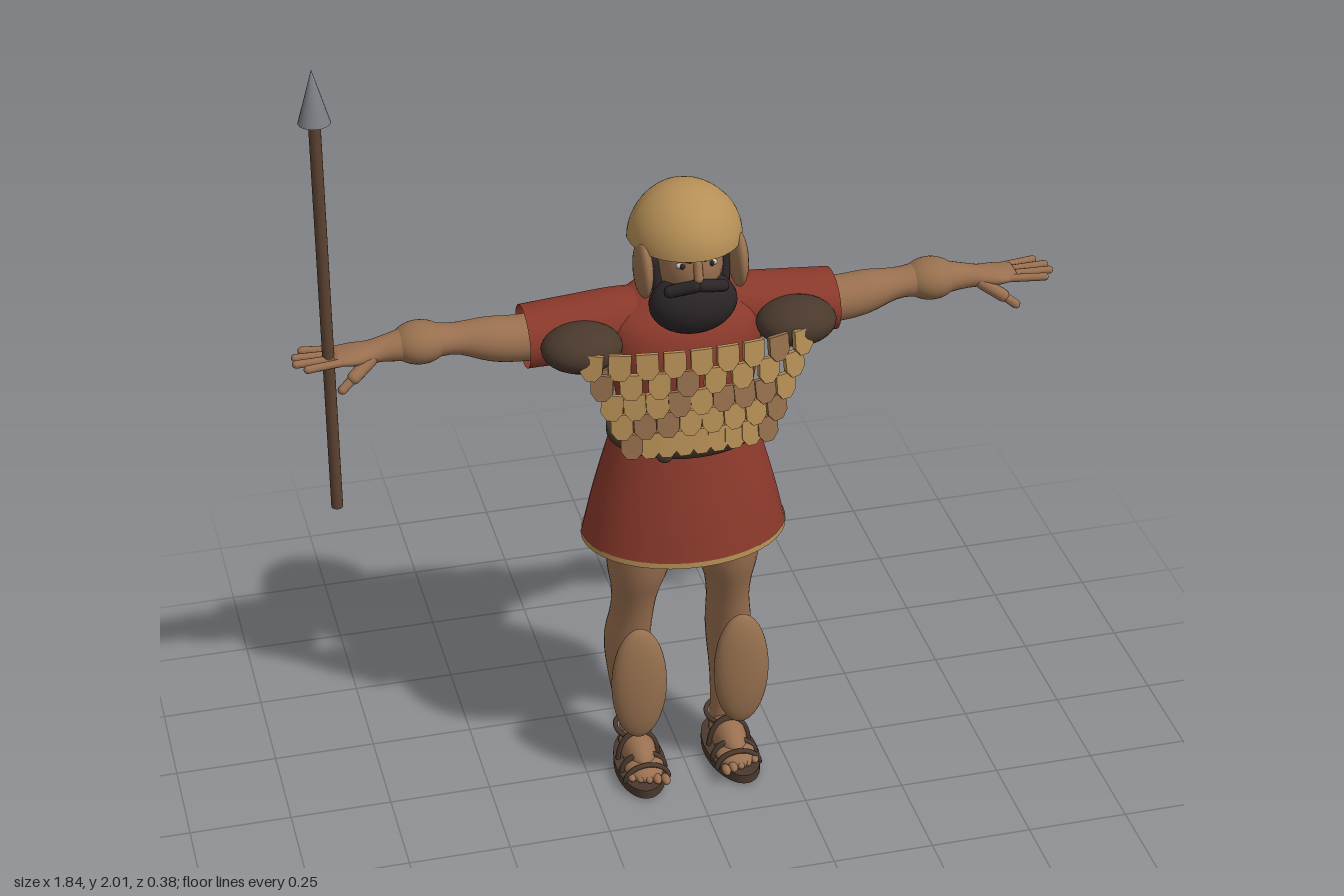
import * as THREE from 'three';
import { mergeGeometries } from 'three/addons/utils/BufferGeometryUtils.js';

const mat = (name, color, side = THREE.FrontSide) => {
  const m = new THREE.MeshStandardMaterial({ color, side });
  m.name = name;
  return m;
};

const M = {
  skin: mat('skin', 0x9a7050),
  red: mat('red cloth', 0x8a392b, THREE.DoubleSide),
  gold: mat('brass', 0xb68f56, THREE.DoubleSide),
  bronze: mat('bronze', 0x96704e),
  leather: mat('leather', 0x4a392d, THREE.DoubleSide),
  hair: mat('dark hair', 0x2b2527),
  wood: mat('wood', 0x5c4232),
  iron: mat('iron', 0x7c8086),
  eye: mat('eye white', 0xcfc4b4),
};

// Smooth tube along y through sections [y, centreX, centreZ, radiusX, radiusZ]
function loft(sections, { seg = 28, steps = 28, caps = true } = {}) {
  const mid = new THREE.CatmullRomCurve3(sections.map(s => new THREE.Vector3(s[1], s[0], s[2])), false, 'catmullrom', 0.5);
  const rad = new THREE.CatmullRomCurve3(sections.map(s => new THREE.Vector3(s[3], s[4], 0)), false, 'catmullrom', 0.5);
  const pos = [], idx = [];
  for (let i = 0; i <= steps; i++) {
    const c = mid.getPoint(i / steps), r = rad.getPoint(i / steps);
    for (let j = 0; j < seg; j++) {
      const a = j / seg * Math.PI * 2;
      pos.push(c.x + r.x * Math.cos(a), c.y, c.z + r.y * Math.sin(a));
      if (i === steps) continue;
      const p = i * seg + j, q = i * seg + (j + 1) % seg;
      idx.push(p, p + seg, q, q, p + seg, q + seg);
    }
  }
  if (caps) {
    const n = pos.length / 3, top = steps * seg;
    const b = mid.getPoint(0), t = mid.getPoint(1);
    pos.push(b.x, b.y, b.z, t.x, t.y, t.z);
    for (let j = 0; j < seg; j++) {
      const k = (j + 1) % seg;
      idx.push(n, j, k, n + 1, top + k, top + j);
    }
  }
  const g = new THREE.BufferGeometry();
  g.setAttribute('position', new THREE.Float32BufferAttribute(pos, 3));
  g.setIndex(idx);
  g.computeVertexNormals();
  return g;
}

export function createModel() {
  const root = new THREE.Group();
  root.name = 'spearman';
  const add = (name, geo, material, x = 0, y = 0, z = 0) => {
    const m = new THREE.Mesh(geo, material);
    m.name = name;
    m.position.set(x, y, z);
    root.add(m);
    return m;
  };
  const blob = (name, material, x, y, z, rx, ry, rz) =>
    add(name, new THREE.SphereGeometry(1, 28, 18).scale(rx, ry, rz), material, x, y, z);
  const rod = (name, material, a, b, r) => {
    const A = new THREE.Vector3(...a), B = new THREE.Vector3(...b), d = B.clone().sub(A);
    const m = add(name, new THREE.CapsuleGeometry(r, d.length(), 4, 10), material);
    m.position.copy(A).add(B).multiplyScalar(0.5);
    m.quaternion.setFromUnitVectors(new THREE.Vector3(0, 1, 0), d.normalize());
    return m;
  };

  // Tunic, hem and belt
  add('tunicBody', loft([
    [0.99, 0, 0, 0.165, 0.115], [1.08, 0, 0.01, 0.165, 0.102], [1.2, 0, 0, 0.185, 0.115],
    [1.28, 0, -0.018, 0.185, 0.107], [1.325, 0, -0.045, 0.14, 0.083], [1.355, 0, -0.05, 0.085, 0.063],
  ]), M.red);
  add('skirt', loft([
    [0.7, 0, 0, 0.25, 0.19], [0.8, 0, 0, 0.227, 0.172], [0.9, 0, 0, 0.2, 0.15], [1.0, 0, 0, 0.17, 0.125],
  ], { seg: 40, steps: 14, caps: false }), M.red);
  add('hemTrim', loft([[0.695, 0, 0, 0.252, 0.192], [0.709, 0, 0, 0.251, 0.191]],
    { seg: 40, steps: 1, caps: false }), M.gold);
  add('belt', loft([[0.975, 0, 0, 0.186, 0.148], [1.016, 0, 0, 0.186, 0.148]], { seg: 40, steps: 1 }), M.leather);
  blob('beltKnot', M.leather, -0.08, 0.993, 0.14, 0.022, 0.024, 0.015);

  // Armour scales: front and back panels of rounded plates in staggered rows
  const plate = new THREE.Shape([[-0.026, 0.03], [0.026, 0.03], [0.026, -0.014], [0.011, -0.034],
    [-0.011, -0.034], [-0.026, -0.014]].map(p => new THREE.Vector2(...p)));
  let seed = 11;
  const rand = () => (seed = (seed * 16807) % 2147483647) / 2147483647;
  for (const [side, turn] of [['front', 0], ['back', Math.PI]]) {
    const sets = { gold: [], bronze: [] };
    for (let row = 0; row < 5; row++) {
      const n = row % 2 ? 8 : 9, half = 0.25 - row * 0.022;
      for (let i = 0; i < n; i++) {
        const x = (i / (n - 1) * 2 - 1) * half;
        const z = 0.168 * Math.sqrt(1 - (x / 0.42) ** 2) - 0.004;
        const g = new THREE.ExtrudeGeometry(plate, { depth: 0.012, bevelEnabled: false });
        g.rotateX(-0.12).rotateZ((rand() - 0.5) * 0.12).rotateY(x * 1.6);
        g.translate(x, 1.25 - row * 0.053, z).rotateY(turn);
        sets[rand() < 0.72 ? 'gold' : 'bronze'].push(g);
      }
    }
    for (const key in sets) add(`${side}Scales`, mergeGeometries(sets[key]), M[key]);
  }

  // Neck and head
  add('neck', loft([[1.27, 0, -0.045, 0.07, 0.055], [1.36, 0, -0.035, 0.056, 0.045],
    [1.48, 0, -0.01, 0.058, 0.05]]), M.skin);
  blob('head', M.skin, 0, 1.46, 0.038, 0.082, 0.12, 0.1);
  rod('nose', M.skin, [0, 1.485, 0.132], [0, 1.452, 0.143], 0.011);
  blob('beard', M.hair, 0, 1.365, 0.09, 0.105, 0.078, 0.066);

  // Helmet bowl, its rim drooping at the nape
  const bowl = new THREE.SphereGeometry(1, 40, 16, 0, Math.PI * 2, 0, Math.PI / 2);
  const p = bowl.attributes.position;
  for (let i = 0; i < p.count; i++) {
    const y = p.getY(i), back = Math.max(0, -p.getZ(i));
    p.setXYZ(i, p.getX(i) * 0.134, y * 0.13 - 0.045 * back * (1 - y), p.getZ(i) * 0.145);
  }
  bowl.computeVertexNormals();
  add('helmet', bowl, M.gold, 0, 1.502, 0.01);

  for (const s of [1, -1]) {
    // Face details and cheek guards
    blob('eye', M.eye, s * 0.035, 1.48, 0.122, 0.014, 0.008, 0.008);
    blob('pupil', M.hair, s * 0.035, 1.48, 0.128, 0.006, 0.007, 0.005);
    rod('eyebrow', M.hair, [s * 0.017, 1.493, 0.131], [s * 0.056, 1.499, 0.116], 0.005);
    rod('moustache', M.hair, [s * 0.008, 1.433, 0.142], [s * 0.062, 1.415, 0.122], 0.015);
    rod('sideburn', M.hair, [s * 0.078, 1.4, 0.07], [s * 0.082, 1.46, 0.06], 0.015);
    blob('cheekGuard', M.bronze, s * 0.113, 1.453, 0.068, 0.021, 0.071, 0.057);

    // Sleeve and arm, lofted upright then laid out sideways
    const limb = (name, rows, material, opts) =>
      add(name, loft(rows.map(([x, y, z, ry, rz]) => [x, -s * y, z, ry, rz]), opts), material)
        .rotation.z = -s * Math.PI / 2;
    limb('sleeve', [[0.03, 1.265, -0.04, 0.075, 0.07], [0.15, 1.262, -0.045, 0.08, 0.08],
      [0.27, 1.255, -0.045, 0.077, 0.085], [0.375, 1.25, -0.045, 0.073, 0.085]], M.red, { caps: false });
    limb('arm', [[0.2, 1.25, -0.04, 0.06, 0.06], [0.38, 1.25, -0.04, 0.055, 0.058], [0.46, 1.257, -0.042, 0.052, 0.054],
      [0.54, 1.268, -0.045, 0.036, 0.042], [0.62, 1.27, -0.045, 0.042, 0.05], [0.7, 1.268, -0.04, 0.031, 0.034],
      [0.74, 1.266, -0.035, 0.024, 0.036], [0.78, 1.266, -0.033, 0.02, 0.044], [0.825, 1.267, -0.033, 0.012, 0.042]], M.skin);
    blob('bracer', M.bronze, s * 0.62, 1.27, -0.045, 0.068, 0.05, 0.06);
    blob('shoulderPad', M.leather, s * 0.258, 1.262, 0.06, 0.096, 0.055, 0.08);
    const tips = [0.89, 0.91, 0.912, 0.89];
    tips.forEach((x, i) => rod('finger', M.skin, [s * 0.81, 1.267, -0.065 + i * 0.022],
      [s * x, 1.267, -0.077 + i * 0.03], 0.0095));
    rod('thumb', M.skin, [s * 0.74, 1.258, -0.012], [s * 0.785, 1.232, 0.015], 0.016);
    rod('thumbTip', M.skin, [s * 0.785, 1.232, 0.015], [s * 0.815, 1.21, 0.027], 0.011);

    // Leg and floating greave
    add('leg', loft([[0.03, 0.118, -0.06, 0.036, 0.04], [0.1, 0.118, -0.056, 0.033, 0.038],
      [0.2, 0.128, -0.062, 0.043, 0.05], [0.34, 0.13, -0.06, 0.057, 0.065], [0.45, 0.122, -0.035, 0.053, 0.064],
      [0.52, 0.118, -0.02, 0.058, 0.07], [0.6, 0.112, -0.008, 0.076, 0.084], [0.72, 0.104, -0.003, 0.09, 0.094],
      [0.88, 0.09, 0, 0.09, 0.1]].map(r => [r[0], s * r[1], ...r.slice(2)])), M.skin);
    blob('greave', M.bronze, s * 0.13, 0.295, 0.07, 0.07, 0.16, 0.035);

    // Foot and sandal
    const fx = s * 0.118;
    blob('foot', M.skin, fx, 0.045, -0.005, 0.043, 0.05, 0.095);
    blob('forefoot', M.skin, fx, 0.035, 0.06, 0.05, 0.026, 0.065);
    for (let i = 0; i < 5; i++)
      blob('toe', M.skin, fx + s * (i - 2) * 0.02, 0.034, 0.128 - i * 0.008, 0.011, 0.011, 0.02);
    add('sole', new THREE.CylinderGeometry(1, 1, 0.024, 36).scale(0.064, 1, 0.134), M.leather, fx, 0.012, 0.018)
      .rotation.y = s * 0.08;
    for (const [z, r, h] of [[0.095, 0.055, 0.042], [0.055, 0.056, 0.05], [0, 0.052, 0.078]])
      add('sandalStrap', new THREE.TorusGeometry(1, 0.12, 8, 24, Math.PI).scale(r, h, 0.07), M.leather, fx, 0.018, z);
    add('ankleStrap', new THREE.TorusGeometry(0.045, 0.006, 8, 28).rotateX(Math.PI / 2 + 0.2), M.leather, fx, 0.085, -0.05);
  }

  // Spear
  add('spearShaft', new THREE.CylinderGeometry(0.014, 0.014, 1.005, 16), M.wood, -0.836, 1.3675, -0.025);
  add('spearHead', new THREE.ConeGeometry(0.037, 0.13, 20), M.iron, -0.836, 1.935, -0.025);

  return root;
}
